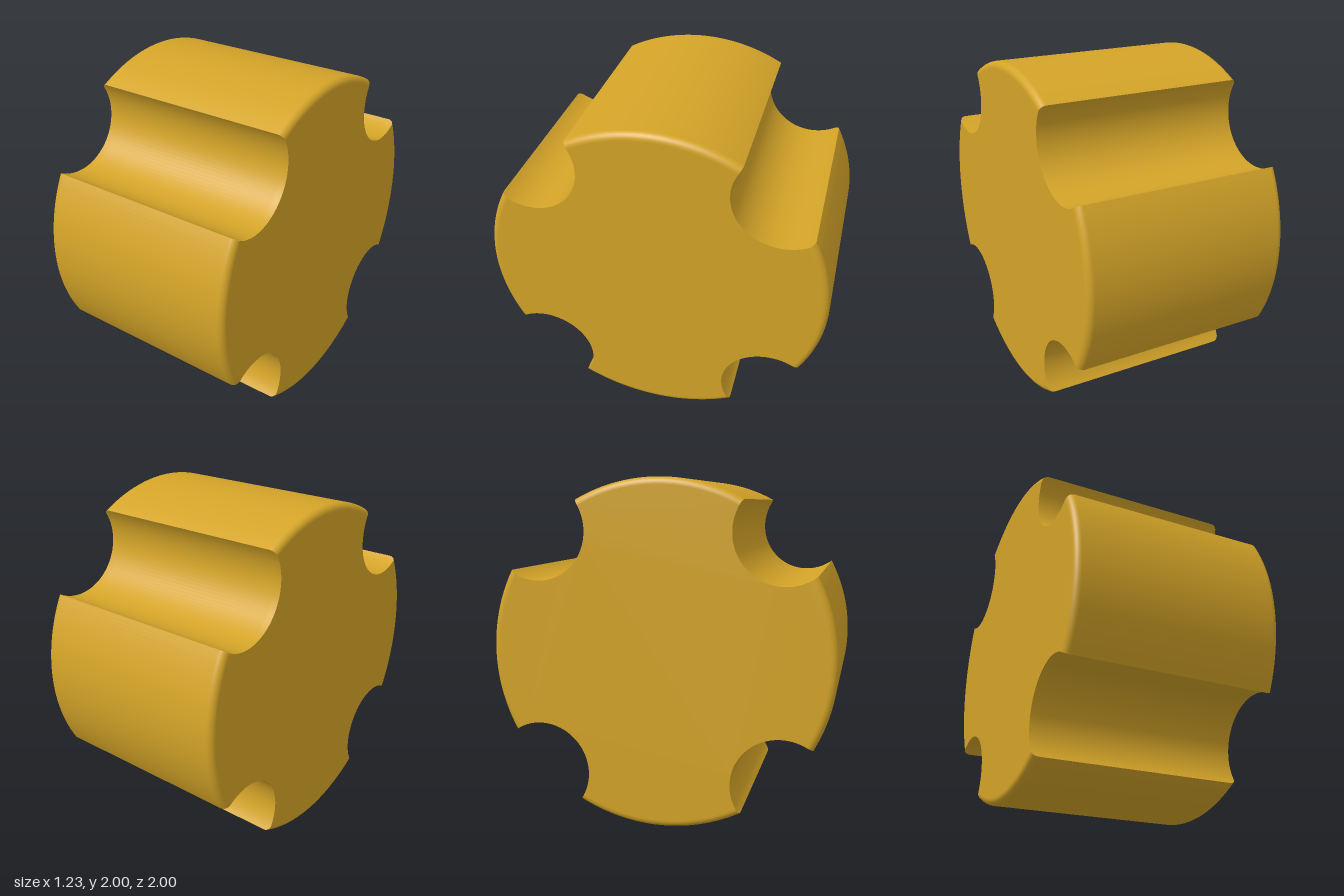
import * as THREE from 'three';

const R = 1, HALF = 0.617, NOTCH = 0.287, FILLET = 0.04;
const LOBE_SEGS = 48, NOTCH_SEGS = 40, FILLET_SEGS = 8;

// Cross-sections along x: the outer radius shrinks in a quarter round at each end
const sections = [];
for (const side of [-1, 1]) {
  for (let i = 0; i <= FILLET_SEGS; i++) {
    const a = (side < 0 ? i : FILLET_SEGS - i) / FILLET_SEGS * Math.PI / 2;
    sections.push({
      x: side * (HALF - FILLET + FILLET * Math.cos(a)),
      r: R - FILLET + FILLET * Math.sin(a),
    });
  }
}

// Angle from a notch's centre line to its corner on a circle of radius r
const cornerAngle = (r) => Math.acos((r * r + R * R - NOTCH * NOTCH) / (2 * r * R));

// Point on the lobe centred on angle 0, t from 0 to 1
function lobePoint(r, t) {
  const a = (Math.PI / 4 - cornerAngle(r)) * (2 * t - 1);
  return [r * Math.cos(a), r * Math.sin(a)];
}

// Point on the concave notch centred on 45 degrees, t from 0 to 1
function notchPoint(r, t) {
  const d = cornerAngle(r);
  const e = Math.atan2(r * Math.sin(d), R - r * Math.cos(d));
  const a = Math.PI * 1.25 + e * (1 - 2 * t);
  const c = R * Math.SQRT1_2;
  return [c + NOTCH * Math.cos(a), c + NOTCH * Math.sin(a)];
}

// Smooth strip lofted through all sections
function loft(point, segs) {
  const positions = [], index = [], row = segs + 1;
  sections.forEach(({ x, r }, i) => {
    for (let j = 0; j <= segs; j++) {
      positions.push(x, ...point(r, j / segs));
      if (i && j) {
        const d = i * row + j, c = d - 1, b = d - row, a = b - 1;
        index.push(a, b, c, b, d, c);
      }
    }
  });
  const geometry = new THREE.BufferGeometry();
  geometry.setAttribute('position', new THREE.Float32BufferAttribute(positions, 3));
  geometry.setIndex(index);
  geometry.computeVertexNormals();
  return geometry;
}

// Flat end outline: lobe and notch repeated four times
function endShape() {
  const points = [], centre = new THREE.Vector2();
  for (let k = 0; k < 4; k++) {
    for (const [point, segs] of [[lobePoint, LOBE_SEGS], [notchPoint, NOTCH_SEGS]]) {
      for (let j = 0; j < segs; j++) {
        points.push(new THREE.Vector2(...point(R - FILLET, j / segs))
          .rotateAround(centre, k * Math.PI / 2));
      }
    }
  }
  return new THREE.Shape(points);
}

export function createModel() {
  const model = new THREE.Group();
  model.name = 'notchedRoller';
  const material = new THREE.MeshStandardMaterial({ color: 0xd4a428 });
  const add = (name, geometry) => {
    const mesh = new THREE.Mesh(geometry, material);
    mesh.name = name;
    mesh.position.y = R;
    model.add(mesh);
    return mesh;
  };

  // Rounded lobes and the grooves between them
  const lobe = loft(lobePoint, LOBE_SEGS);
  const notch = loft(notchPoint, NOTCH_SEGS);
  for (let k = 0; k < 4; k++) {
    add('lobe', lobe).rotation.x = k * Math.PI / 2;
    add('groove', notch).rotation.x = k * Math.PI / 2;
  }

  // Flat ends
  for (const side of [-1, 1]) {
    const cap = new THREE.ShapeGeometry(endShape());
    cap.rotateY(side * Math.PI / 2).translate(side * HALF, 0, 0);
    add(side > 0 ? 'leftEnd' : 'rightEnd', cap);
  }
  return model;
}
